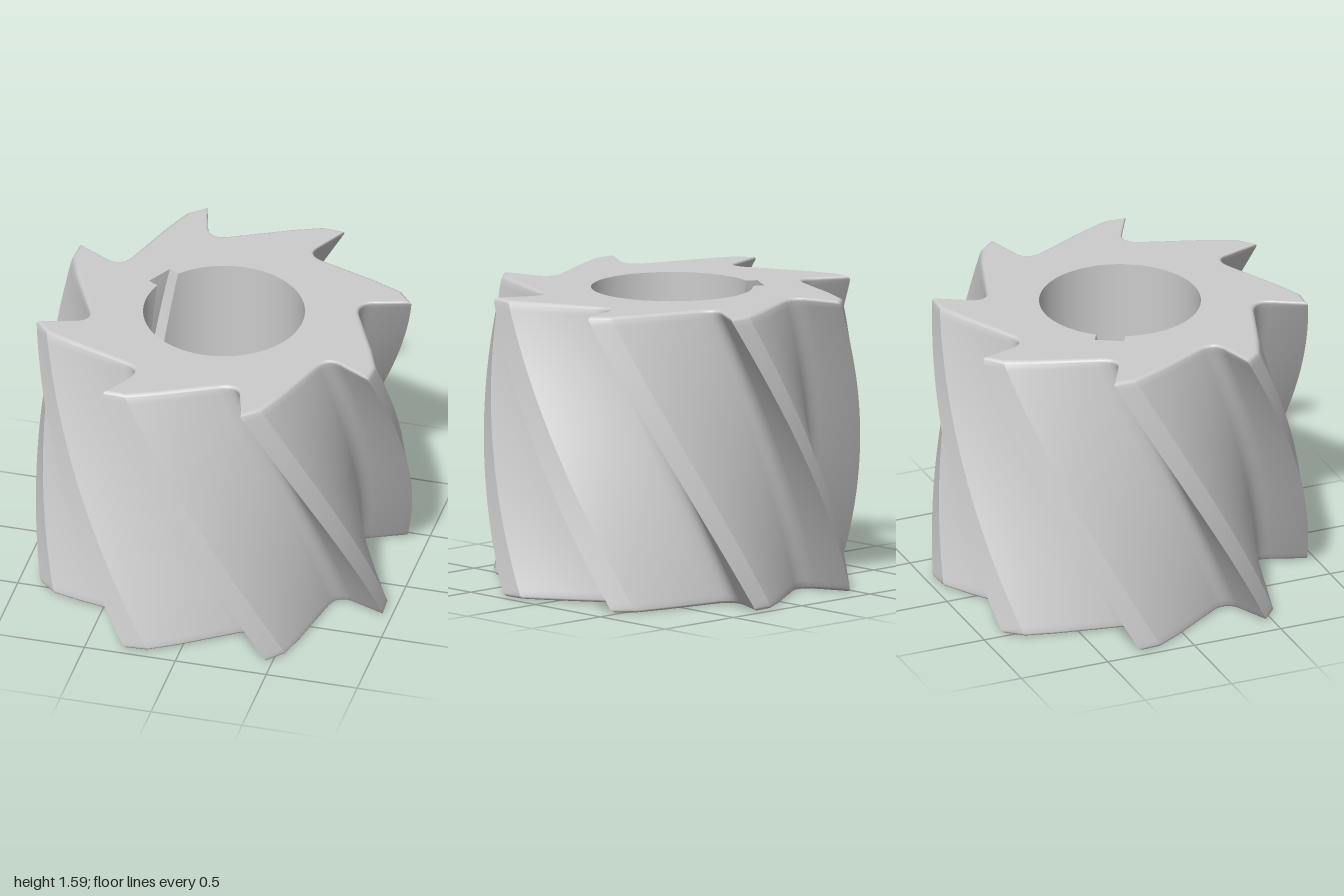
import * as THREE from 'three';
import { toCreasedNormals } from 'three/addons/utils/BufferGeometryUtils.js';

const H = 1.59, TEETH = 8, LEVELS = 56, ROUND = 0.02;
const TWIST = THREE.MathUtils.degToRad(53.5); // helix turn from top to bottom
const V = (x, z) => new THREE.Vector2(x, z);  // a plan point (x, z)
const spin = (p, a) => V(p.x * Math.cos(a) + p.y * Math.sin(a), p.y * Math.cos(a) - p.x * Math.sin(a));
const turnAt = y => TWIST * (1 - y / H);

// Plan outline of all teeth at the top: land, sloping back, rounded gullet, rake face
function toothOutline() {
  const gullet = new THREE.QuadraticBezierCurve(V(0.15, 0.705), V(0.253, 0.655), V(0.28, 0.75));
  const tooth = [V(-0.43, 0.902), V(-0.305, 0.912), V(-0.15, 0.85), ...gullet.getPoints(14)];
  const pts = [];
  for (let i = 0; i < TEETH; i++) tooth.forEach(p => pts.push(spin(p, i * 2 * Math.PI / TEETH)));
  return pts;
}

// Plan outline of the bore with its keyway
function boreOutline() {
  const r = 0.43, half = 0.078, depth = 0.485, a0 = Math.asin(half / r), n = 80;
  const pts = [];
  for (let i = 0; i <= n; i++) {
    const a = a0 + (2 * Math.PI - 2 * a0) * i / n;
    pts.push(V(r * Math.sin(a), r * Math.cos(a)));
  }
  pts.push(V(-half, depth), V(half, depth));
  return pts.map(p => spin(p, THREE.MathUtils.degToRad(-120)));
}

// Moves an outline inward by d with mitred corners
function inset(pts, d) {
  if (d === 0) return pts;
  const n = pts.length;
  return pts.map((p, i) => {
    const e1 = p.clone().sub(pts[(i + n - 1) % n]).normalize();
    const e2 = pts[(i + 1) % n].clone().sub(p).normalize();
    const n1 = V(e1.y, -e1.x), n2 = V(e2.y, -e2.x);
    return p.clone().addScaledVector(n1.clone().add(n2), d / (1 + n1.dot(n2)));
  });
}

// Helical wall through a list of { y, d } levels
function helixWall(outline, levels, inward) {
  const n = outline.length, pos = [], idx = [];
  for (const { y, d } of levels)
    for (const p of inset(outline, d)) {
      const q = spin(p, turnAt(y));
      pos.push(q.x, y, q.y);
    }
  for (let j = 0; j < levels.length - 1; j++)
    for (let i = 0; i < n; i++) {
      const a = j * n + i, b = j * n + (i + 1) % n, c = b + n, e = a + n;
      if (inward) idx.push(a, c, b, a, e, c);
      else idx.push(a, b, c, a, c, e);
    }
  const g = new THREE.BufferGeometry();
  g.setAttribute('position', new THREE.Float32BufferAttribute(pos, 3));
  g.setIndex(idx);
  return toCreasedNormals(g, 0.36);
}

// Flat end face with the bore cut out
function endFace(outer, bore, top) {
  const s = top ? -1 : 1;
  const flat = pts => pts.map(p => V(p.x, s * p.y));
  const shape = new THREE.Shape(flat(outer));
  shape.holes.push(new THREE.Path(flat(bore)));
  const g = new THREE.ShapeGeometry(shape);
  g.rotateX(s * Math.PI / 2);
  g.rotateY(turnAt(top ? H : 0));
  g.translate(0, top ? H : 0, 0);
  return g;
}

export function createModel() {
  const group = new THREE.Group();
  group.name = 'helicalMillingCutter';
  const mat = new THREE.MeshStandardMaterial({ color: 0xcccccc });
  const add = (name, geo) => {
    const m = new THREE.Mesh(geo, mat);
    m.name = name;
    group.add(m);
  };
  const teeth = toothOutline(), bore = boreOutline();

  // Rounded rims at both ends, plain helix between
  const rim = [];
  for (let i = 0; i < 6; i++) {
    const a = i / 6 * Math.PI / 2;
    rim.push({ y: ROUND * (1 - Math.sin(a)), d: ROUND * (1 - Math.cos(a)) });
  }
  rim.push({ y: 0, d: ROUND });
  const bottom = rim.slice().reverse();
  const middle = [];
  for (let i = 1; i < LEVELS; i++) middle.push({ y: ROUND + (H - 2 * ROUND) * i / LEVELS, d: 0 });
  const upper = rim.map(({ y, d }) => ({ y: H - y, d }));

  add('helicalTeeth', helixWall(teeth, [...bottom, ...middle, ...upper], false));

  // Bore and keyway follow the same helix
  const boreLevels = [];
  for (let i = 0; i <= LEVELS; i++) boreLevels.push({ y: H * i / LEVELS, d: 0 });
  add('boreWithKeyway', helixWall(bore, boreLevels, true));

  const rimOutline = inset(teeth, ROUND);
  add('topFace', endFace(rimOutline, bore, true));
  add('bottomFace', endFace(rimOutline, bore, false));
  return group;
}
